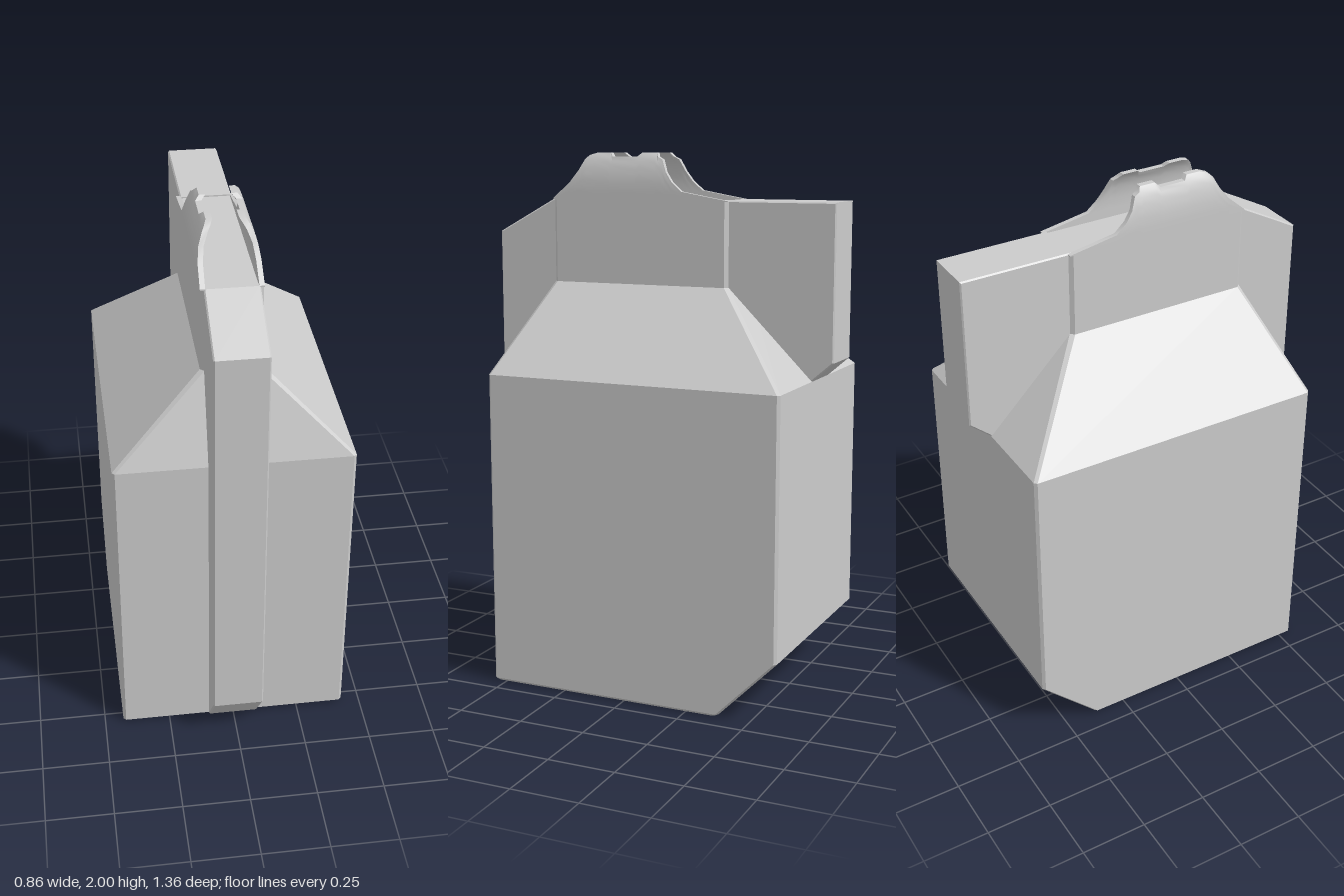
import * as THREE from 'three';
import { toCreasedNormals } from 'three/addons/utils/BufferGeometryUtils.js';

const material = new THREE.MeshStandardMaterial({ color: 0xcccccc });

// Closed skin through equal-length rings, capped at both ends
function loft(rings, crease) {
  const n = rings[0].length, last = (rings.length - 1) * n, index = [];
  for (let r = 0; r < rings.length - 1; r++) {
    for (let i = 0; i < n; i++) {
      const a = r * n + i, b = r * n + (i + 1) % n;
      index.push(a, b, b + n, a, b + n, a + n);
    }
  }
  // Cap strips join opposite points, which suits both convex and thin rings
  for (let i = 0; i < n / 2 - 1; i++) {
    const a = i, b = i + 1, c = n - 2 - i, d = n - 1 - i;
    index.push(a, c, b, a, d, c);
    index.push(last + a, last + b, last + c, last + a, last + c, last + d);
  }
  const g = new THREE.BufferGeometry();
  g.setAttribute('position', new THREE.Float32BufferAttribute(rings.flat(2), 3));
  g.setIndex(index);
  return toCreasedNormals(g, crease);
}

// Horizontal rectangle with chamfered corners
function rectRing(y, x, back, front, c) {
  return [
    [x, y, front - c], [x, y, back + c], [x - c, y, back], [c - x, y, back],
    [-x, y, back + c], [-x, y, front - c], [c - x, y, front], [x - c, y, front],
  ];
}

// Side profile given as [z, y], extruded across x with a tiny bevel
function sideBlock(points, halfWidth) {
  const bevel = 0.005;
  const shape = new THREE.Shape(points.map(([z, y]) => new THREE.Vector2(-z, y)));
  const g = new THREE.ExtrudeGeometry(shape, {
    depth: 2 * (halfWidth - bevel), bevelEnabled: true, bevelSegments: 1,
    bevelThickness: bevel, bevelSize: bevel, bevelOffset: -bevel,
  });
  g.translate(0, 0, bevel - halfWidth);
  g.rotateY(Math.PI / 2);
  return g;
}

// Piecewise linear lookup in [key, value] pairs
function lookup(table, k) {
  for (let i = 1; i < table.length; i++) {
    const [k0, v0] = table[i - 1], [k1, v1] = table[i];
    if (k <= k1) return v0 + (v1 - v0) * (k - k0) / (k1 - k0);
  }
  return table[table.length - 1][1];
}

const FLOOR = 1.825;
// Lip half-widths by height
const outer = [[1.8, 0.108], [1.87, 0.108], [1.91, 0.105], [1.95, 0.096], [1.985, 0.081], [2, 0.067]];
const inner = [[1.8, 0.09], [1.87, 0.09], [1.91, 0.087], [1.95, 0.078], [1.985, 0.06], [2, 0.045]];
// Top edge of the lips as [z, y], with the notch in the middle
const rim = [
  [-0.275, 1.828], [-0.18, 1.844], [-0.09, 1.86], [-0.05, 1.895], [-0.025, 1.93], [-0.005, 1.975],
  [0.015, 1.985], [0.025, 2], [0.085, 2], [0.1, 1.985], [0.2, 1.985], [0.215, 2],
  [0.27, 2], [0.3, 1.99], [0.315, 1.975], [0.335, 1.935], [0.37, 1.89], [0.44, 1.83],
];

function lip(side) {
  const steps = 10;
  const rings = rim.map(([z, top]) => {
    const up = [], down = [];
    for (let i = 0; i <= steps; i++) {
      const y = FLOOR + (top - FLOOR) * i / steps;
      up.push([side * lookup(outer, y), y, z]);
      down.unshift([side * lookup(inner, y), y, z]);
    }
    const ring = [...up, ...down];
    return side > 0 ? ring : ring.reverse();
  });
  return loft(rings, 0.6);
}

export function createModel() {
  const group = new THREE.Group();
  const add = (name, geometry) => {
    const mesh = new THREE.Mesh(geometry, material);
    mesh.name = name;
    group.add(mesh);
  };

  // Main case with chamfered rear foot, sloped shoulders and narrow neck
  add('body', loft([
    rectRing(0, 0.42, -0.365, 0.54, 0.01),
    rectRing(0.01, 0.43, -0.38, 0.55, 0.01),
    rectRing(0.23, 0.43, -0.6, 0.55, 0.01),
    rectRing(1.19, 0.43, -0.6, 0.55, 0.01),
    rectRing(1.515, 0.108, -0.275, 0.44, 0.014),
    rectRing(FLOOR, 0.108, -0.275, 0.44, 0.014),
  ], 0.3));

  // Full-height rib down the front
  add('frontRib', sideBlock([
    [0.42, 0], [0.55, 0], [0.68, 0.17], [0.68, 1.7], [0.44, 1.83], [0.42, 1.83],
  ], 0.095));

  // Block behind the neck
  add('rearBlock', sideBlock([
    [-0.26, 1.19], [-0.26, 1.83], [-0.68, 1.83], [-0.68, 1.26], [-0.6, 1.19],
  ], 0.095));

  // Inward curling lips either side of the opening
  add('leftLip', lip(1));
  add('rightLip', lip(-1));
  return group;
}
